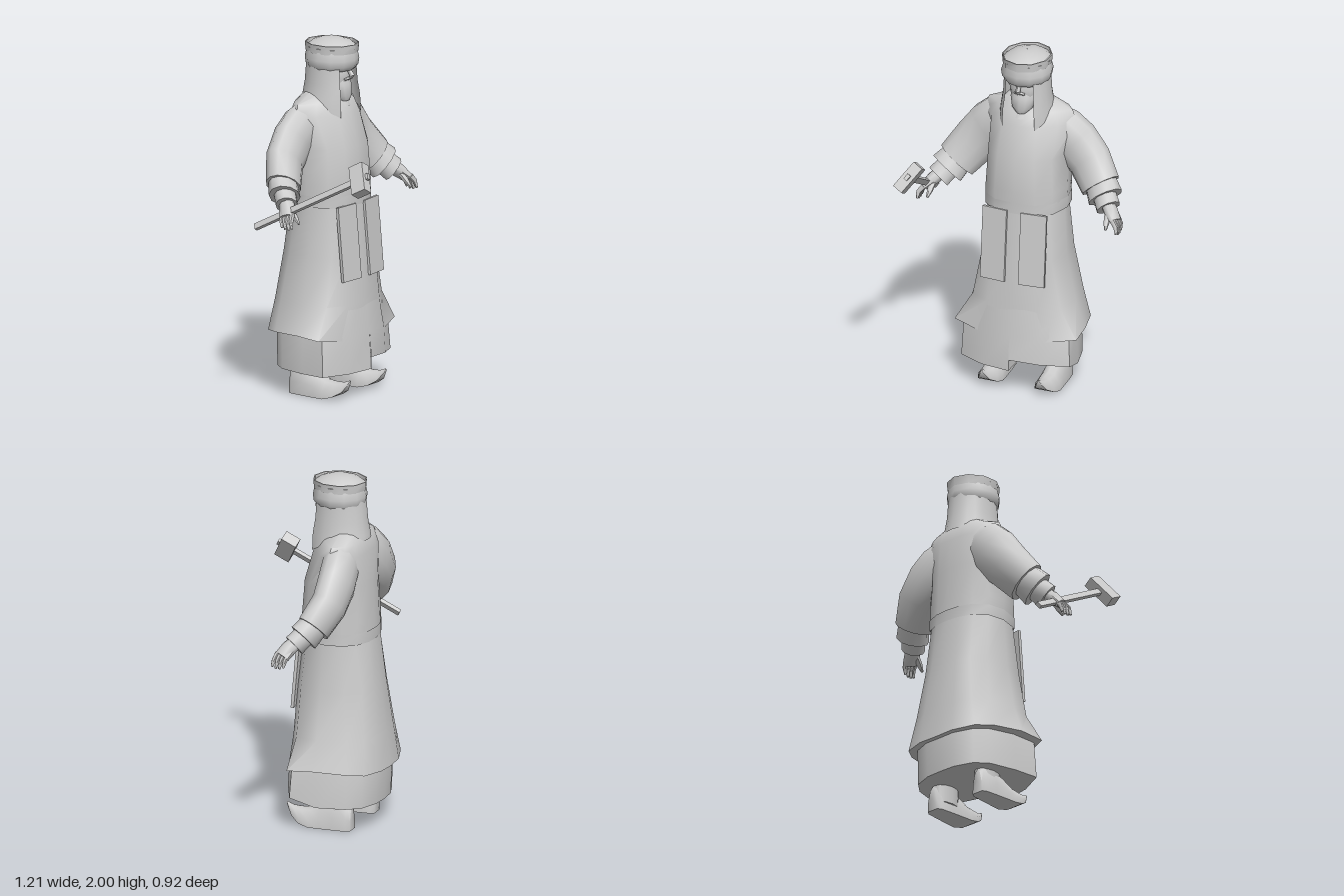
import * as THREE from 'three';
import { toCreasedNormals } from 'three/addons/utils/BufferGeometryUtils.js';

const V = (x, y, z) => new THREE.Vector3(x, y, z);

// Skin a list of equal-length rings; optional end caps
function loft(rings, { closed = true, bottom = false, top = false, crease = 1 } = {}) {
  const n = rings[0].length, pos = [];
  const tri = (a, b, c) => pos.push(a.x, a.y, a.z, b.x, b.y, b.z, c.x, c.y, c.z);
  for (let i = 0; i < rings.length - 1; i++) {
    for (let j = 0; j < (closed ? n : n - 1); j++) {
      const k = (j + 1) % n, a = rings[i][j], b = rings[i][k], c = rings[i + 1][k], d = rings[i + 1][j];
      tri(a, b, c);
      tri(a, c, d);
    }
  }
  const cap = (ring, flip) => {
    const m = ring.reduce((s, p) => s.add(p), V(0, 0, 0)).divideScalar(n);
    for (let j = 0; j < n; j++) {
      const a = ring[j], b = ring[(j + 1) % n];
      flip ? tri(b, a, m) : tri(a, b, m);
    }
  };
  if (bottom) cap(rings[0], true);
  if (top) cap(rings[rings.length - 1], false);
  const g = new THREE.BufferGeometry();
  g.setAttribute('position', new THREE.Float32BufferAttribute(pos, 3));
  return toCreasedNormals(g, crease);
}
const capped = { bottom: true, top: true };

// Horizontal ellipse
const ellipse = (y, rx, rz, cz, n = 12) => Array.from({ length: n }, (_, i) => {
  const t = i / n * Math.PI * 2;
  return V(Math.sin(t) * rx, y, cz + Math.cos(t) * rz);
});

// Mirrored outline, from the front seam round the back to the seam again; half holds [x, z]
const outline = (y, half) => {
  const height = typeof y === 'function' ? y : () => y;
  return [
    ...half.map(([x, z], i) => V(x, height(i, 1), z)),
    ...half.slice(0, -1).reverse().map(([x, z], i) => V(-x, height(half.length - 2 - i, -1), z)),
  ];
};

// Tapered tube through [x, y, z, radius, depthRadius]
function limb(points, n = 10) {
  const p = points.map(a => V(a[0], a[1], a[2]));
  return loft(points.map((a, i) => {
    const d = p[Math.min(i + 1, p.length - 1)].clone().sub(p[Math.max(i - 1, 0)]).normalize();
    const v = V(0, 0, 1).addScaledVector(d, -d.z).normalize(), u = v.clone().cross(d);
    return Array.from({ length: n }, (_, k) => {
      const t = (k + 0.5) / n * Math.PI * 2;
      return p[i].clone().addScaledVector(u, Math.cos(t) * a[3]).addScaledVector(v, Math.sin(t) * a[4]);
    });
  }), capped);
}

export function createModel() {
  const model = new THREE.Group();
  const stone = new THREE.MeshStandardMaterial({ color: 0xcccccc, side: THREE.DoubleSide });
  stone.name = 'plain grey';
  const add = (name, geometry, parent = model) => {
    const m = new THREE.Mesh(geometry, stone);
    m.name = name;
    parent.add(m);
    return m;
  };

  // Torso with sloping shoulders
  add('torso', loft([
    outline(1.09, [[0, .028], [.12, .018], [.2, -.04], [.232, -.16], [.22, -.26], [.16, -.33], [.08, -.36], [0, -.368]]),
    outline(1.2, [[0, .032], [.12, .022], [.2, -.04], [.24, -.16], [.222, -.26], [.16, -.33], [.08, -.355], [0, -.362]]),
    outline(1.4, [[0, .02], [.11, .01], [.19, -.05], [.235, -.18], [.22, -.27], [.15, -.32], [.08, -.345], [0, -.35]]),
    outline(1.58, [[0, -.03], [.1, -.04], [.2, -.12], [.28, -.2], [.23, -.28], [.15, -.32], [.08, -.335], [0, -.335]]),
    outline(1.65, [[0, -.06], [.09, -.07], [.17, -.14], [.25, -.21], [.2, -.27], [.14, -.3], [.07, -.315], [0, -.315]]),
    outline(1.7, [[0, -.1], [.06, -.11], [.1, -.15], [.13, -.21], [.11, -.25], [.08, -.27], [.04, -.28], [0, -.28]]),
  ], { ...capped, crease: 1.2 }));

  // Long coat with flared front corners, closed underneath
  const hemY = i => [.33, .335, .36, .37, .36, .35, .345, .34][i];
  add('coat', loft([
    outline(hemY, [[0, .085], [.17, .07], [.365, .01], [.355, -.14], [.31, -.32], [.25, -.41], [.12, -.455], [0, -.46]]),
    outline(.53, [[0, .075], [.15, .058], [.262, -.005], [.298, -.14], [.27, -.31], [.21, -.39], [.11, -.43], [0, -.435]]),
    outline(.8, [[0, .055], [.13, .044], [.21, -.01], [.245, -.14], [.228, -.28], [.17, -.36], [.09, -.395], [0, -.4]]),
    outline(1.1, [[0, .027], [.11, .017], [.185, -.035], [.225, -.15], [.21, -.25], [.16, -.32], [.08, -.36], [0, -.365]]),
  ], { closed: false, bottom: true, crease: 1.1 }));

  // Underskirt, its front overlap hanging higher on the left
  const skirtY = (i, side) => side > 0 && i < 3 ? [.215, .205, .19][i] : .15 - i * .001;
  add('underskirt', loft([
    outline(skirtY, [[0, .11], [.17, .085], [.325, .01], [.31, -.14], [.27, -.3], [.21, -.375], [.1, -.415], [0, -.42]]),
    outline(.36, [[0, .098], [.165, .078], [.315, 0], [.3, -.14], [.26, -.31], [.21, -.38], [.1, -.425], [0, -.43]]),
    outline(.62, [[0, .06], [.14, .045], [.22, -.02], [.25, -.14], [.22, -.28], [.16, -.35], [.08, -.39], [0, -.4]]),
  ], { closed: false, bottom: true }));

  // Belt band, almost flush with the cloth
  const waist = [[0, .032], [.121, .022], [.201, -.038], [.237, -.16], [.222, -.262], [.162, -.333], [.081, -.364], [0, -.372]];
  add('belt', loft([outline(1.075, waist), outline(1.14, waist)], { closed: false }));

  // Two hanging front panels
  for (const s of [-1, 1]) {
    const panel = add('frontPanel', new THREE.BoxGeometry(.15, .42, .018));
    panel.position.set(s * .116, .877, .04);
    panel.rotation.set(-.09, s * .1, 0);
  }

  // Legs, shoes, sleeves and hands, built on the left and mirrored
  for (const s of [1, -1]) {
    const side = new THREE.Group();
    side.name = s > 0 ? 'leftLimbs' : 'rightLimbs';
    side.scale.x = s;
    model.add(side);

    add('leg', loft([
      ellipse(.05, .055, .088, -.21), ellipse(.2, .052, .085, -.21), ellipse(.3, .056, .085, -.205),
    ].map(r => r.map(p => p.setX(p.x + .158))), capped), side);

    // Shoe sections: z, half width, bottom, top
    const shoe = [[-.302, .035, 0, .14], [-.28, .05, 0, .17], [-.2, .058, 0, .18], [-.12, .064, 0, .14], [-.06, .068, 0, .105],
      [0, .06, .015, .098], [.05, .035, .045, .1], [.088, .006, .1, .115]];
    add('shoe', loft(shoe.map(([z, w, b, t]) => [[-1, 0], [1, 0], [.95, .4], [.5, .88], [0, 1], [-.5, .88], [-.95, .4]]
      .map(([x, h]) => V(.17 + x * w, b + h * (t - b), z))), capped), side);

    add('sleeve', limb([[.13, 1.54, -.225, .13, .09], [.175, 1.51, -.23, .148, .1], [.25, 1.445, -.24, .15, .1],
      [.34, 1.35, -.235, .135, .095], [.43, 1.235, -.18, .122, .09]], 12), side);
    add('middleCuff', limb([[.42, 1.26, -.19, .095, .075], [.475, 1.19, -.14, .108, .082]]), side);
    add('innerCuff', limb([[.46, 1.21, -.15, .07, .06], [.51, 1.15, -.1, .074, .06]]), side);
    add('palm', limb([[.49, 1.18, -.12, .04, .04], [.535, 1.14, -.08, .038, .046], [.575, 1.1, -.055, .026, .046]], 8), side);
    for (let f = 0; f < 4; f++) {
      const z = -.09 + f * .022;
      add('finger', limb([[.565, 1.115, z, .016, .014], [.592, 1.08, z + .01, .014, .013],
        [.597, 1.03 + Math.abs(f - 1.5) * .008, z + .02, .007, .007]], 6), side);
    }
    add('thumb', limb([[.525, 1.13, -.06, .02, .018], [.53, 1.09, -.025, .016, .015], [.535, 1.06, 0, .007, .007]], 6), side);
  }

  // Face with nose, moustache and a tapered bearded jaw
  const head = new THREE.Group();
  head.name = 'head';
  model.add(head);
  const face = add('face', new THREE.SphereGeometry(1, 14, 10), head);
  face.scale.set(.092, .13, .1);
  face.position.set(0, 1.79, -.145);
  add('beard', loft([ellipse(1.65, .03, .03, -.075), ellipse(1.68, .06, .055, -.09),
    ellipse(1.74, .076, .07, -.11), ellipse(1.79, .07, .06, -.12)], capped), head);
  add('nose', limb([[0, 1.845, -.055, .01, .012], [0, 1.795, -.018, .014, .017], [0, 1.782, -.03, .012, .012]], 6), head);
  add('moustache', limb([[-.03, 1.774, -.048, .005, .008], [0, 1.779, -.038, .009, .012], [.03, 1.774, -.048, .005, .008]], 6), head);
  add('collar', loft([ellipse(1.62, .1, .14, -.18), ellipse(1.68, .075, .11, -.18)]), head);

  // Headscarf open at the face, ending in two pointed lappets
  const scarfRow = (y, rx, rz, tip = 0) => Array.from({ length: 17 }, (_, i) => {
    const t = .68 + i / 16 * (Math.PI * 2 - 1.36), edge = Math.min(i, 16 - i);
    return V(Math.sin(t) * rx, y + Math.min(edge, 3) * tip, -.16 + Math.cos(t) * rz);
  });
  add('headscarf', loft([
    scarfRow(1.57, .152, .17, .025), scarfRow(1.67, .146, .167), scarfRow(1.75, .134, .152), scarfRow(1.87, .128, .142),
  ], { closed: false }), head);

  // Padded turban, flat band and low domed crown
  add('turban', loft([ellipse(1.825, .124, .13, -.155), ellipse(1.85, .138, .149, -.155),
    ellipse(1.885, .144, .154, -.155), ellipse(1.93, .13, .146, -.155)], { ...capped, crease: 1.2 }), head);
  add('hatBand', loft([ellipse(1.922, .135, .151, -.155, 10), ellipse(1.972, .138, .156, -.155, 10),
    ellipse(1.972, .132, .149, -.155, 10), ellipse(1.94, .13, .146, -.155, 10)], { crease: .7 }), head);
  add('crown', loft([ellipse(1.95, .134, .15, -.155), ellipse(1.978, .1, .112, -.155),
    ellipse(1.995, .05, .06, -.155), ellipse(2, .001, .001, -.155)]), head);

  // Hammer held in the right hand
  const hammer = new THREE.Group();
  hammer.name = 'hammer';
  const tail = V(-.59, 1.02, -.255), tip = V(-.473, 1.38, .425);
  const along = tip.clone().sub(tail), length = along.length();
  along.normalize();
  const across = V(.52, .77, -.36);
  across.addScaledVector(along, -across.dot(along)).normalize();
  hammer.quaternion.setFromRotationMatrix(new THREE.Matrix4().makeBasis(across, along, across.clone().cross(along)));
  hammer.position.copy(tail);
  model.add(hammer);
  add('hammerHandle', new THREE.BoxGeometry(.035, length, .022), hammer).position.y = length / 2;
  add('hammerHead', new THREE.BoxGeometry(.175, .09, .062), hammer).position.y = length - .06;

  return model;
}
